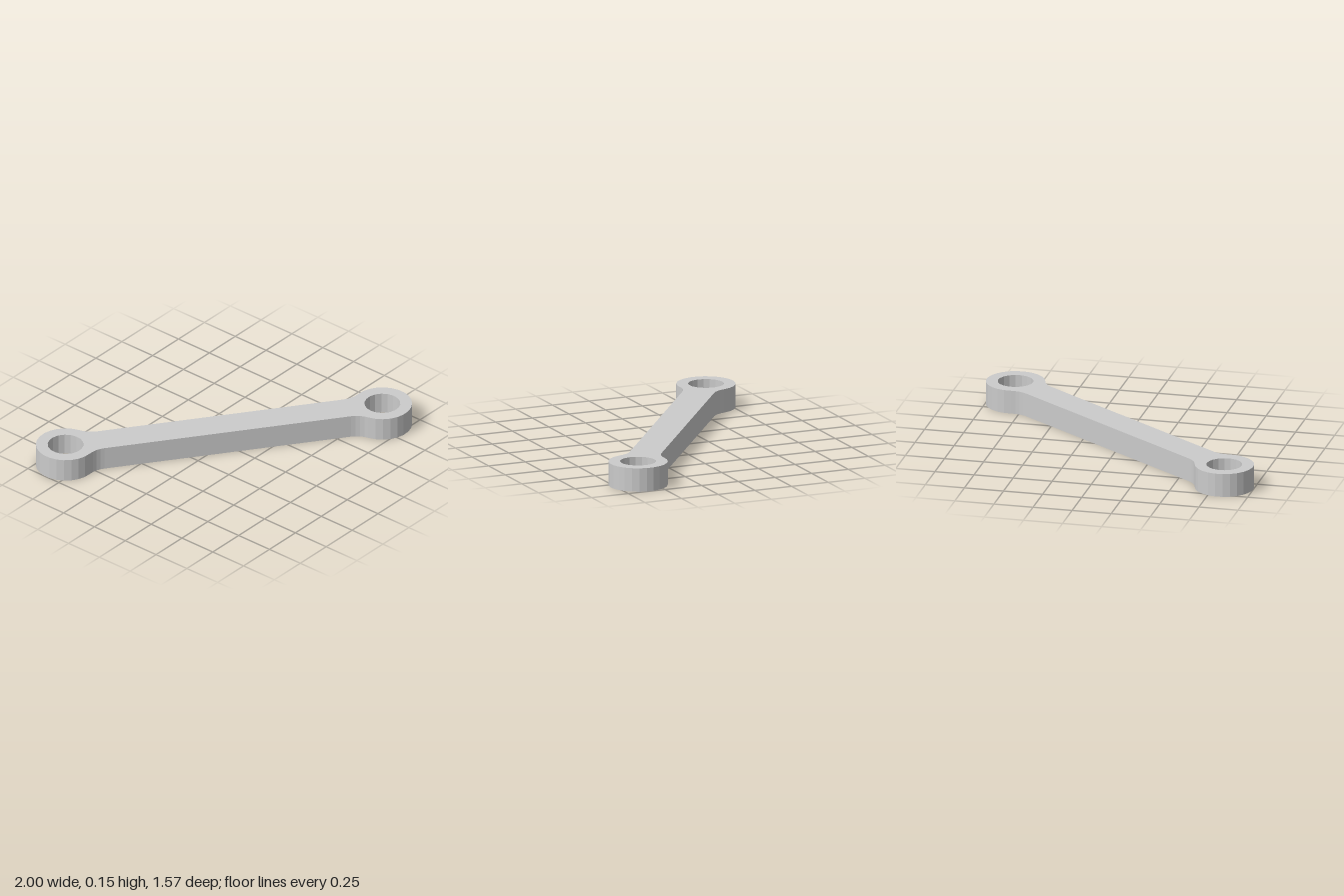
import * as THREE from 'three';

const HEIGHT = 0.15, REACH = 1.012;        // thickness, centre to eye centre
const EYE = 0.185, BORE = 0.112, RECESS = 0.13, RECESS_DEPTH = 0.02;
const BAR = 0.1, FILLET_U = 0.225;         // bar half width, fillet centre offset
const SLOT_R = 0.06, SLOT_END = 0.665, SLOT_DEPTH = 0.1;

const material = new THREE.MeshStandardMaterial({ color: 0xcccccc, flatShading: true });

// Points along an arc, both ends included
function arc(cx, cy, r, a0, a1, n) {
  return Array.from({ length: n + 1 }, (_, i) => {
    const a = a0 + (a1 - a0) * i / n;
    return new THREE.Vector2(cx + r * Math.cos(a), cy + r * Math.sin(a));
  });
}
const circle = (cx, r, n) => arc(cx, 0, r, 0, Math.PI * 2, n).slice(0, -1);
const turned = pts => pts.map(p => new THREE.Vector2(-p.x, -p.y));

// Counter-clockwise outline: two round eyes blended into a straight bar
function outline() {
  const r = (FILLET_U ** 2 + BAR ** 2 - EYE ** 2) / (2 * (EYE - BAR));
  const phi = Math.atan2(BAR + r, FILLET_U);
  const half = [
    ...arc(REACH - FILLET_U, -BAR - r, r, Math.PI / 2, phi, 4),
    ...arc(REACH, 0, EYE, phi - Math.PI, Math.PI - phi, 18).slice(1, -1),
    ...arc(REACH - FILLET_U, BAR + r, r, -phi, -Math.PI / 2, 4),
  ];
  return [...half, ...turned(half)];
}

// Flat face at height y, looking up or down
function cap(name, y, up, pts, holes = []) {
  const shape = new THREE.Shape(pts);
  shape.holes = holes.map(h => new THREE.Path(h));
  const geometry = new THREE.ShapeGeometry(shape);
  geometry.rotateX(up ? -Math.PI / 2 : Math.PI / 2).translate(0, y, 0);
  const mesh = new THREE.Mesh(geometry, material);
  mesh.name = name;
  return mesh;
}

// Upright wall along a closed outline, facing outward or inward
function wall(name, pts, y0, y1, inward = false) {
  const loop = inward ? [...pts].reverse() : pts;
  const pos = [];
  loop.forEach((p, i) => {
    const q = loop[(i + 1) % loop.length];
    const a = [p.x, y0, -p.y], b = [q.x, y0, -q.y];
    const c = [q.x, y1, -q.y], d = [p.x, y1, -p.y];
    pos.push(...a, ...b, ...c, ...a, ...c, ...d);
  });
  const geometry = new THREE.BufferGeometry();
  geometry.setAttribute('position', new THREE.Float32BufferAttribute(pos, 3));
  geometry.computeVertexNormals();
  const mesh = new THREE.Mesh(geometry, material);
  mesh.name = name;
  return mesh;
}

export function createModel() {
  const rod = new THREE.Group();
  rod.name = 'connectingRod';
  const body = outline();
  const centres = [REACH, -REACH];
  const bores = centres.map(x => circle(x, BORE, 18));
  const recesses = centres.map(x => circle(x, RECESS, 18));
  const slotEnd = arc(SLOT_END, 0, SLOT_R, -Math.PI / 2, Math.PI / 2, 10);
  const slot = [...slotEnd, ...turned(slotEnd)];

  // Body
  rod.add(
    cap('topFace', HEIGHT, true, body, bores),
    cap('bottomFace', 0, false, body, [...recesses, slot]),
    wall('outerWall', body, 0, HEIGHT),
  );
  // Pocket under the bar
  rod.add(
    wall('slotWall', slot, 0, SLOT_DEPTH, true),
    cap('slotFloor', SLOT_DEPTH, false, slot),
  );
  // Bores with a shallow recess on the underside
  centres.forEach((_, i) => rod.add(
    wall('boreWall', bores[i], RECESS_DEPTH, HEIGHT, true),
    wall('recessWall', recesses[i], 0, RECESS_DEPTH, true),
    cap('recessLedge', RECESS_DEPTH, false, recesses[i], [bores[i]]),
  ));

  rod.rotation.y = -Math.atan2(0.6, 0.815);
  const model = new THREE.Group();
  model.name = 'linkArm';
  model.add(rod);
  return model;
}
